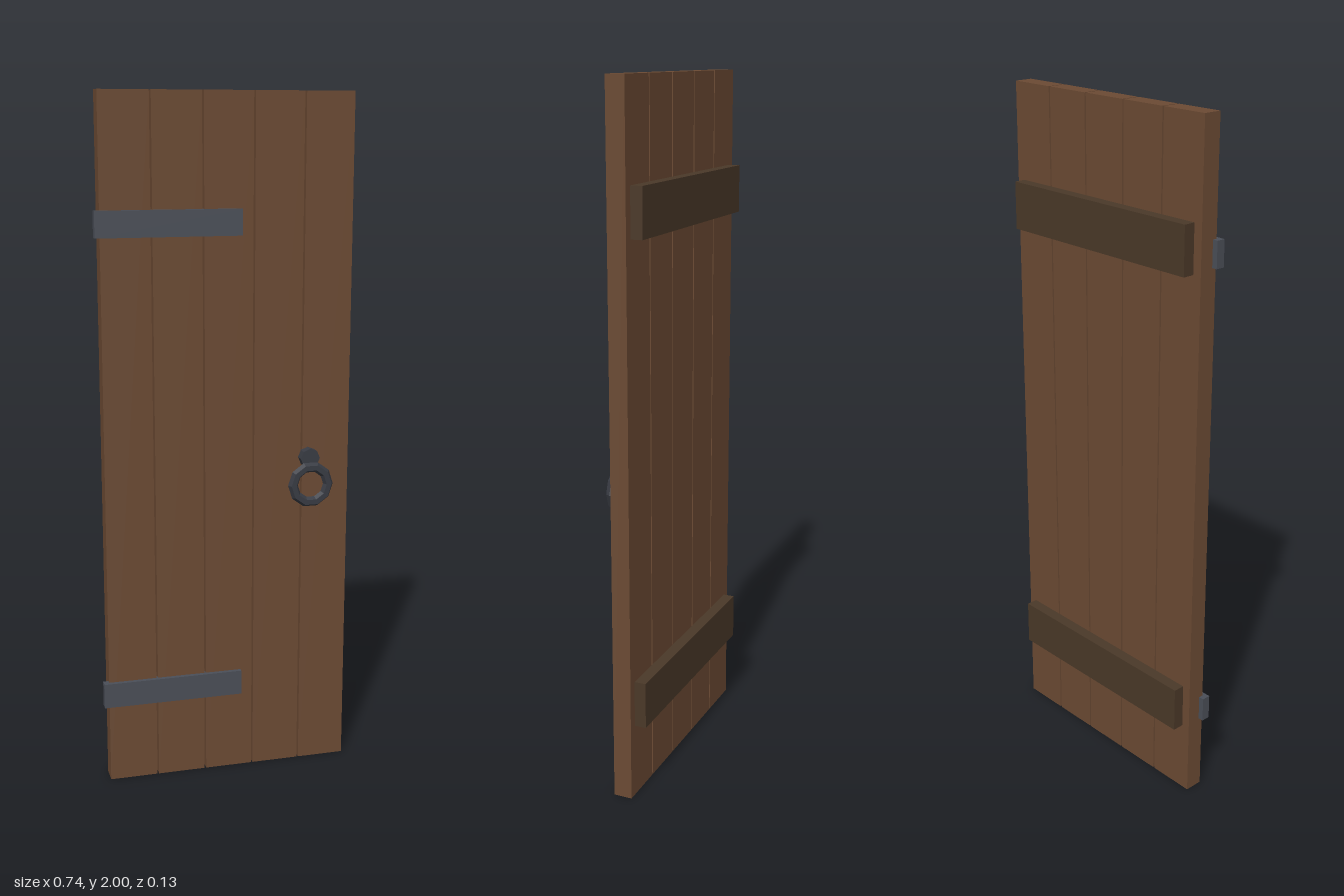
import * as THREE from 'three';

const material = (name, color) => {
  const m = new THREE.MeshStandardMaterial({ color });
  m.name = name;
  return m;
};

export function createModel() {
  const door = new THREE.Group();
  door.name = 'plankDoor';
  const wood = material('plank brown', 0x6b4a33);
  const darkWood = material('ledge brown', 0x4a3828);
  const iron = material('strap iron', 0x4a4e57);
  const darkIron = material('handle iron', 0x383b43);

  const add = (name, geometry, mat, x, y, z) => {
    const mesh = new THREE.Mesh(geometry.toNonIndexed(), mat);
    mesh.geometry.computeVertexNormals(); // faceted normals
    mesh.name = name;
    mesh.position.set(x, y, z);
    door.add(mesh);
    return mesh;
  };

  // Five upright planks with narrow gaps
  for (let i = 0; i < 5; i++) {
    add(`plank${i + 1}`, new THREE.BoxGeometry(0.1415, 2, 0.054), wood, 0.008 + (i - 2) * 0.1467, 1, -0.007);
  }

  // Back ledges and front hinge straps, lower and upper
  [['lower', 0.286, 0.274], ['upper', 1.66, 1.645]].forEach(([level, ledgeY, strapY]) => {
    add(`${level}Ledge`, new THREE.BoxGeometry(0.675, 0.136, 0.034), darkWood, 0.008, ledgeY, -0.051);
    add(`${level}HingeStrap`, new THREE.BoxGeometry(0.416, 0.074, 0.026), iron, -0.164, strapY, 0.02);
  });

  // Handle boss and hanging ring
  const boss = new THREE.CylinderGeometry(0.029, 0.029, 0.03, 8).rotateX(Math.PI / 2);
  add('handleBoss', boss, darkIron, 0.247, 0.96, 0.033);
  add('handleRing', new THREE.TorusGeometry(0.0537, 0.015, 6, 10), darkIron, 0.247, 0.883, 0.052);

  return door;
}
